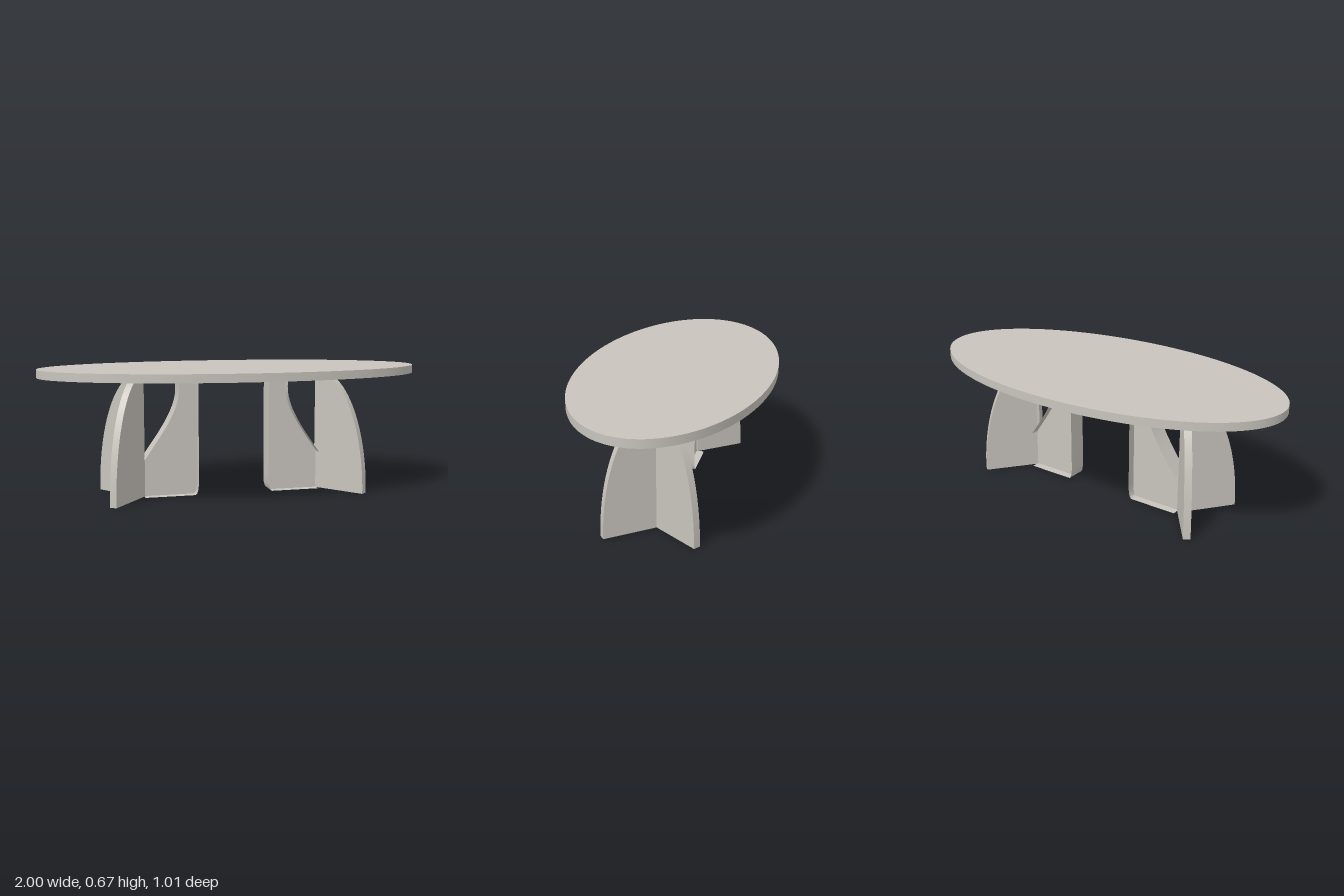
import * as THREE from 'three';
import { toCreasedNormals } from 'three/addons/utils/BufferGeometryUtils.js';

const TOP_Y = 0.625;        // underside of the tabletop
const AXIS_X = 0.482;       // where the three panels of a leg meet
const REACH = 0.292;        // length of each panel from that axis
const THICK = 0.037;        // thickness of the outer panels
const SPREAD = THREE.MathUtils.degToRad(52.5);

const stone = new THREE.MeshStandardMaterial({ color: 0xc8c4bd });
stone.name = 'warm grey';
const stoneThin = stone;
stoneThin.side = THREE.DoubleSide;

function add(parent, name, geometry) {
  const mesh = new THREE.Mesh(geometry, stone);
  mesh.name = name;
  parent.add(mesh);
  return mesh;
}

function slab(shape, depth) {
  const g = new THREE.ExtrudeGeometry(shape, { depth, bevelEnabled: false, curveSegments: 24 });
  g.translate(0, 0, -depth / 2);
  return toCreasedNormals(g, 0.5);
}

// Quarter-ellipse fin, flat at the top where it meets the tabletop
function finShape() {
  const s = new THREE.Shape();
  const height = 0.635;
  const end = Math.asin(TOP_Y / height);
  s.moveTo(0, 0);
  for (let i = 0; i <= 40; i++) {
    const a = end * i / 40;
    s.lineTo(REACH * Math.cos(a), height * Math.sin(a));
  }
  s.lineTo(0, TOP_Y);
  return s;
}

// Outer rim: along the floor, round the corner and up to the tabletop
function traceOuter(path) {
  path.moveTo(0.472, 0);
  path.lineTo(0.212, 0);
  path.quadraticCurveTo(0.19, 0, 0.19, 0.08);
  path.lineTo(0.19, TOP_Y);
  return path;
}

// Inner rim: the scooped edge running down to the leg axis
function traceScoop(path) {
  path.lineTo(0.292, 0.56);
  path.bezierCurveTo(0.29, 0.45, 0.38, 0.33, 0.472, 0.2);
  return path;
}

// Thin band following a path, as wide as `width` in z
function band(path, width) {
  const pts = path.getPoints(20);
  const g = new THREE.PlaneGeometry(1, 1, pts.length - 1, 1);
  const p = g.attributes.position;
  for (let i = 0; i < p.count; i++) {
    const q = pts[i % pts.length];
    p.setXYZ(i, q.x, q.y, i < pts.length ? width / 2 : -width / 2);
  }
  return toCreasedNormals(g, 0.5);
}

function leg(name) {
  const group = new THREE.Group();
  group.name = name;

  // Two splayed outer fins
  for (const side of [1, -1]) {
    const fin = add(group, side > 0 ? 'frontFin' : 'backFin', slab(finShape(), THICK));
    fin.position.x = AXIS_X;
    fin.rotation.y = -side * SPREAD;
  }

  // Inward panel with its wider rims
  const web = traceOuter(new THREE.Shape());
  web.lineTo(0.292, TOP_Y);
  traceScoop(web);
  add(group, 'innerPanel', slab(web, 0.012));

  const rimWidth = 0.1;
  add(group, 'innerPanelRim', band(traceOuter(new THREE.Path()), rimWidth));
  const scoop = new THREE.Path();
  scoop.moveTo(0.292, TOP_Y);
  add(group, 'innerPanelScoop', band(traceScoop(scoop), rimWidth));
  return group;
}

export function createModel() {
  const model = new THREE.Group();
  model.name = 'ovalTable';

  // Oval tabletop
  const top = add(model, 'tabletop', new THREE.CylinderGeometry(1, 1, 0.042, 128));
  top.scale.z = 0.505;
  top.position.y = TOP_Y + 0.021;

  // Matching legs, turned to face each other
  const left = leg('leftLeg');
  const right = leg('rightLeg');
  right.rotation.y = Math.PI;
  model.add(left, right);
  return model;
}
